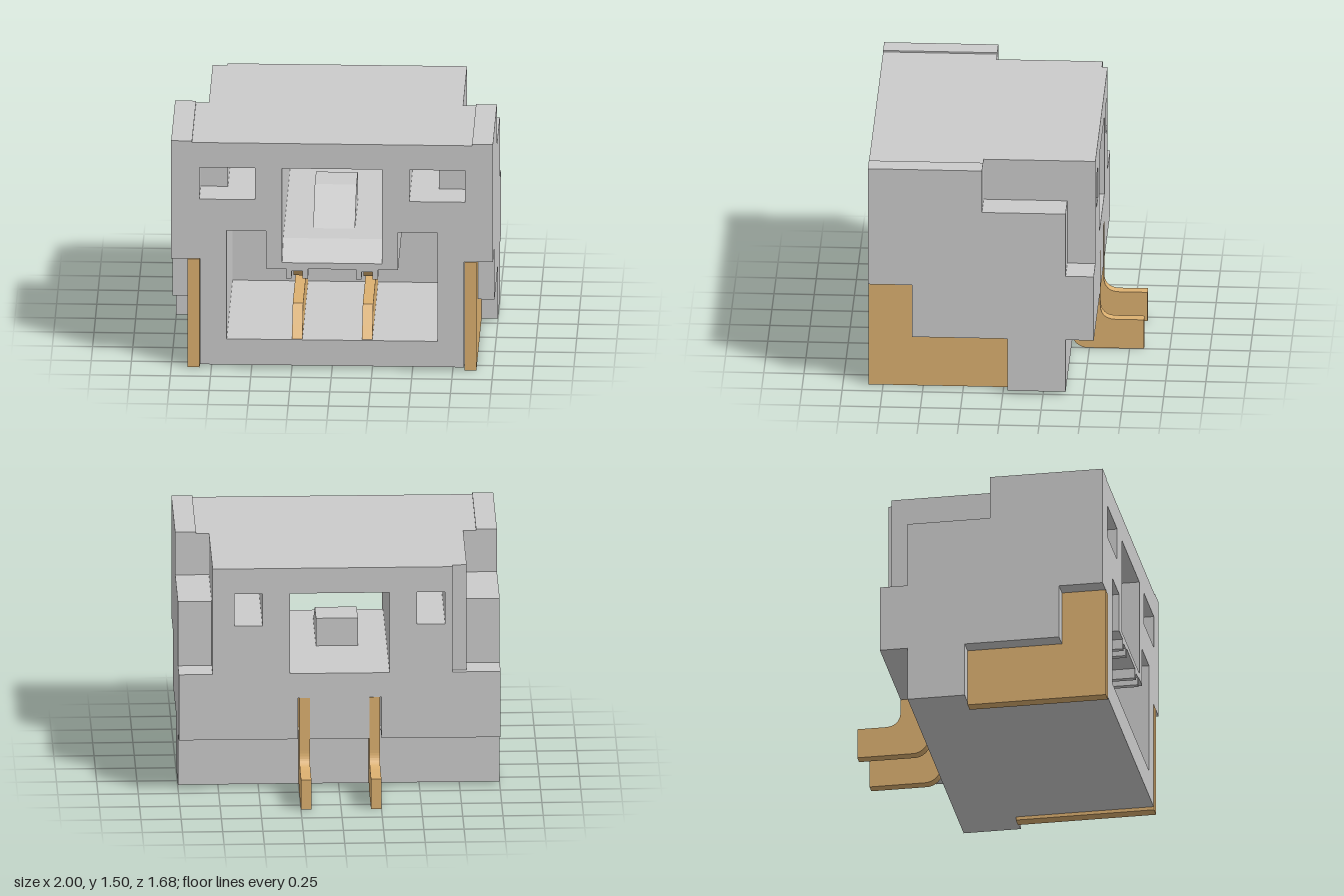
import * as THREE from 'three';

const grey = new THREE.MeshStandardMaterial({ color: 0xcccccc });
const brass = new THREE.MeshStandardMaterial({ color: 0xdcb070 });

const toPath = (pts, Type = THREE.Path) => new Type(pts.map(([x, y]) => new THREE.Vector2(x, y)));
const rect = (x0, x1, y0, y1) => [[x0, y0], [x1, y0], [x1, y1], [x0, y1]];
const mirror = pts => pts.map(([x, y]) => [-x, y]).reverse();

// Extrudes an x-y outline with holes between two depths
function slab(z0, z1, outline, holes = []) {
  const shape = toPath(outline, THREE.Shape);
  shape.holes = holes.map(h => toPath(h));
  const geo = new THREE.ExtrudeGeometry(shape, { depth: z1 - z0, bevelEnabled: false });
  return geo.translate(0, 0, z0);
}

// Extrudes a z-y side profile between two x positions
function sideProfile(shape, x0, x1) {
  const geo = new THREE.ExtrudeGeometry(shape, { depth: x1 - x0, bevelEnabled: false, curveSegments: 10 });
  return geo.rotateY(-Math.PI / 2).translate(x1, 0, 0);
}

// Right half of a housing section, bottom to top
const TOP = 1.49;
const halves = {
  front: [[0.82, 0.02], [0.82, 0.72], [1, 0.72], [1, 1.5], [0.87, 1.5], [0.87, TOP]],
  middle: [[0.82, 0.02], [0.82, 0.37], [1, 0.37], [1, 1.5], [0.87, 1.5], [0.87, TOP]],
  stepped: [[0.82, 0.02], [0.82, 0.37], [1, 0.37], [1, 1.22], [0.79, 1.22], [0.79, TOP]],
  rear: [[1, 0.02], [1, 1.22], [0.79, 1.22], [0.79, TOP]],
};
const full = half => [...half, ...mirror(half)];

// Rear overhang with two slots, open at the bottom, for the contacts
const backOutline = leftTop => [
  [0.26, 0.37], [1, 0.37], [1, 0.8], [0.79, 0.8], [0.79, TOP],
  [leftTop, TOP], [leftTop, 0.8], [-1, 0.8], [-1, 0.37],
  [-0.26, 0.37], [-0.26, 0.64], [-0.185, 0.64], [-0.185, 0.37],
  [0.185, 0.37], [0.185, 0.64], [0.26, 0.64],
];

// Openings
const cavityHalf = [
  [0.655, 0.19], [0.655, 0.91], [0.41, 0.91], [0.41, 0.66], [0.285, 0.66], [0.285, 0.595],
  [0.252, 0.595], [0.252, 0.645], [0.183, 0.645], [0.183, 0.595], [0.15, 0.595], [0.15, 0.66],
];
const cavity = full(cavityHalf);
const windowHole = floor => rect(-0.31, 0.31, floor, 1.325);
const pockets = outer => {
  const p = rect(0.48, outer, 1.115, 1.325);
  return [p, mirror(p)];
};
const slit = rect(0.185, 0.26, 0.37, 0.59);

function housing() {
  const g = new THREE.Group();
  g.name = 'housing';
  const through = [windowHole(0.8), ...pockets(0.655)];
  const sections = [
    ['frontLip', 0.67, 0.84, full(halves.front), [cavity, windowHole(0.7), ...pockets(0.825)]],
    ['frontBody', 0.61, 0.67, full(halves.front), [cavity, windowHole(0.8), ...pockets(0.825)]],
    ['frontBodyRear', 0.565, 0.61, full(halves.front), [cavity, ...through]],
    ['middleBody', 0.13, 0.565, full(halves.middle), [cavity, ...through]],
    ['steppedBody', -0.03, 0.13, full(halves.stepped), [cavity, ...through]],
    ['rearBody', -0.2, -0.03, full(halves.rear), [cavity, ...through]],
    ['rearWall', -0.39, -0.2, full(halves.rear), [slit, mirror(slit), ...through]],
    ['overhang', -0.53, -0.39, backOutline(-0.79), through],
    ['overhangBack', -0.565, -0.53, backOutline(-0.7), through],
  ];
  for (const [name, z0, z1, outline, holes] of sections) {
    const m = new THREE.Mesh(slab(z0, z1, outline, holes), grey);
    m.name = name;
    g.add(m);
  }
  // Sloped sill of the window and the latch ramp behind it
  const sill = toPath([[0.84, 0.7], [0.67, 0.8], [0.67, 0.7]], THREE.Shape);
  const ramp = toPath([[0.49, 0.8], [0.19, 0.98], [-0.03, 0.98], [-0.03, 0.8]], THREE.Shape);
  for (const [name, shape, w] of [['windowSill', sill, 0.31], ['latchRamp', ramp, 0.13]]) {
    const m = new THREE.Mesh(sideProfile(shape, -w, w), grey);
    m.name = name;
    g.add(m);
  }
  return g;
}

// Forked contact with a curved solder foot at the back
function contactShape() {
  const s = toPath([
    [0.83, 0.192], [0.67, 0.37], [-0.1, 0.37], [-0.1, 0.49], [0.5, 0.49],
    [0.67, 0.64], [-0.567, 0.64], [-0.567, 0.295],
  ], THREE.Shape);
  s.absarc(-0.667, 0.295, 0.1, 0, -Math.PI / 2, true);
  // Fillet is swapped to curve outward along the foot
  s.curves.pop();
  s.currentPoint.set(-0.567, 0.295);
  s.quadraticCurveTo(-0.567, 0.195, -0.667, 0.195);
  s.lineTo(-0.84, 0.195);
  s.lineTo(-0.84, 0);
  s.lineTo(-0.49, 0);
  s.absarc(-0.49, 0.1, 0.1, -Math.PI / 2, 0, false);
  s.lineTo(-0.39, 0.192);
  s.closePath();
  return s;
}

export function createModel() {
  const model = new THREE.Group();
  model.name = 'socketConnector';
  model.add(housing());

  const tab = toPath([
    [0.842, 0], [0.842, 0.718], [0.565, 0.718], [0.565, 0.37], [-0.03, 0.37], [-0.03, 0],
  ], THREE.Shape);
  for (const side of [-1, 1]) {
    const label = side > 0 ? 'left' : 'right';
    const contact = new THREE.Mesh(sideProfile(contactShape(), -0.0325, 0.0325), brass);
    contact.name = label + 'Contact';
    contact.position.x = side * 0.2175;
    // Solder tab along the side of the housing
    const plate = new THREE.Mesh(sideProfile(tab, -0.037, 0.037), brass);
    plate.name = label + 'SolderTab';
    plate.position.x = side * 0.86;
    model.add(contact, plate);
  }
  return model;
}
